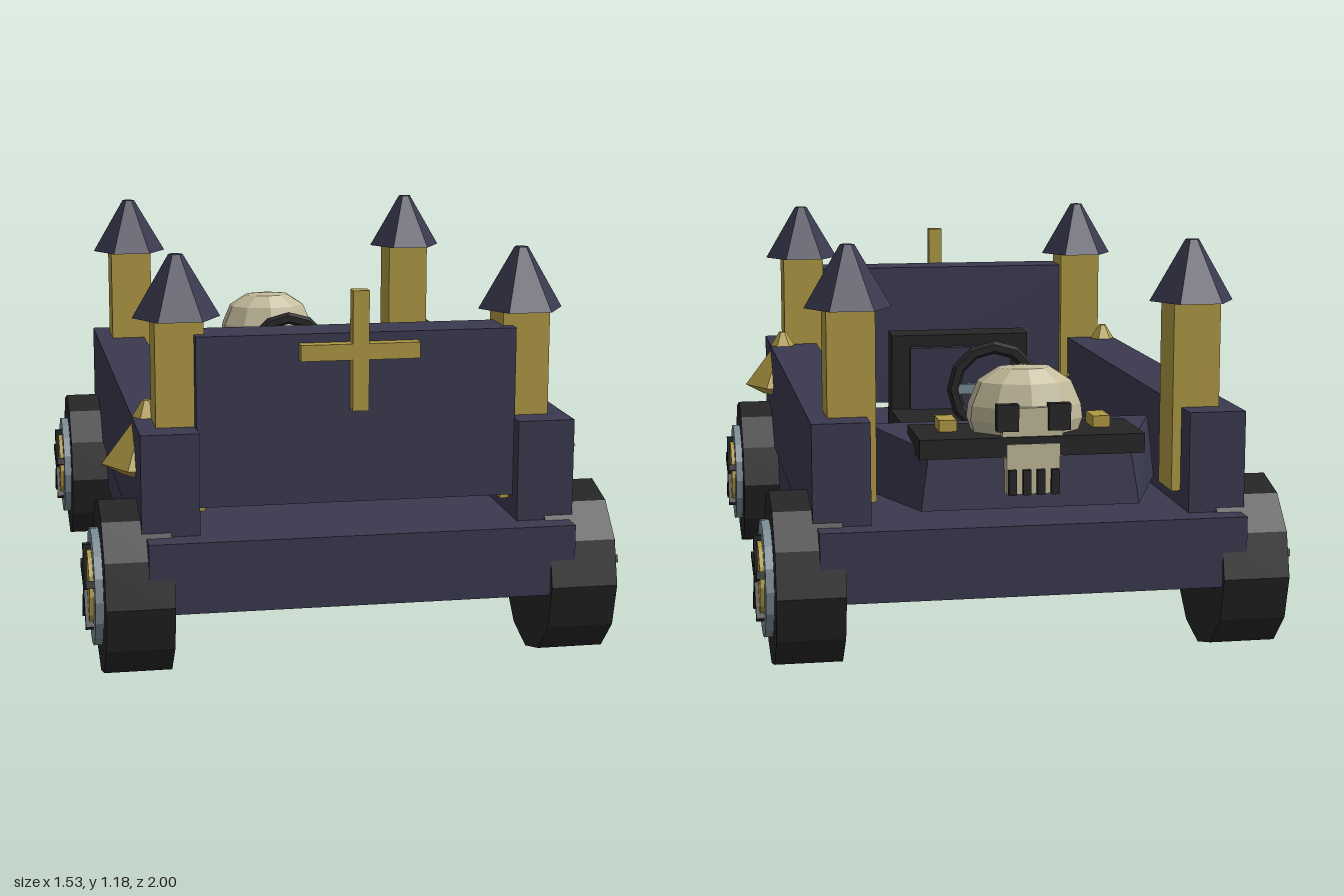
import * as THREE from 'three';

const mat = (name, color) => {
  const m = new THREE.MeshStandardMaterial({ color, flatShading: true });
  m.name = name;
  return m;
};

export function createModel() {
  const root = new THREE.Group();
  root.name = 'castleCart';
  const navy = mat('navy', 0x3a394f);
  const gold = mat('gold', 0xb09a44);
  const dark = mat('black', 0x252525);
  const steel = mat('steel', 0x7a8b93);
  const bone = mat('bone', 0xc4bb9c);

  const add = (name, geo, m, x = 0, y = 0, z = 0, parent = root) => {
    const mesh = new THREE.Mesh(geo, m);
    mesh.name = name;
    mesh.position.set(x, y, z);
    parent.add(mesh);
    return mesh;
  };
  // box given by its limits on each axis
  const box = (name, m, x0, x1, y0, y1, z0, z1, parent = root) =>
    add(name, new THREE.BoxGeometry(x1 - x0, y1 - y0, z1 - z0), m,
      (x0 + x1) / 2, (y0 + y1) / 2, (z0 + z1) / 2, parent);

  // chassis and walls
  box('chassis', navy, -0.6, 0.6, 0.225, 0.425, -0.98, 0.98);
  for (const s of [-1, 1]) {
    const wall = box('sideWall', navy, 0.45, 0.612, 0.375, 0.712, -0.905, 0.905);
    wall.position.x *= s;
  }
  box('endPanel', navy, -0.452, 0.452, 0.49, 0.97, 0.705, 0.855);

  // cross
  box('crossUpright', gold, -0.023, 0.023, 0.757, 1.092, 0.855, 0.896);
  box('crossBar', gold, -0.167, 0.167, 0.9, 0.945, 0.856, 0.895);

  // hood: a box tapering to the back and to the top
  const hoodGeo = new THREE.BoxGeometry(1, 1, 1);
  const p = hoodGeo.attributes.position;
  for (let i = 0; i < p.count; i++) {
    const top = p.getY(i) > 0, front = p.getZ(i) > 0;
    const w = front ? (top ? 0.42 : 0.45) : (top ? 0.285 : 0.31);
    p.setXYZ(i, Math.sign(p.getX(i)) * w, top ? (front ? 0.645 : 0.62) : 0.455,
      front ? (top ? -0.55 : -0.522) : (top ? -0.875 : -0.89));
  }
  hoodGeo.computeVertexNormals();
  add('hood', hoodGeo, navy);
  box('hoodSlab', dark, -0.317, 0.317, 0.605, 0.66, -0.915, -0.67);
  for (const [x, z, w, d] of [[-0.22, -0.755, 0.05, 0.09], [0.22, -0.755, 0.05, 0.09],
    [-0.11, -0.71, 0.055, 0.08], [0.11, -0.71, 0.055, 0.08], [0, -0.69, 0.05, 0.08]]) {
    add('hoodStud', new THREE.BoxGeometry(w, 0.035, d), gold, x, 0.675, z);
  }

  // skull ornament
  const skull = new THREE.Group();
  skull.name = 'skull';
  root.add(skull);
  const cranium = add('cranium', new THREE.LatheGeometry(
    [[0, 0], [0.9, 0], [1, 0.25], [0.97, 0.45], [0.8, 0.78], [0.45, 0.97], [0, 1]]
      .map(([x, y]) => new THREE.Vector2(x, y)), 10), bone, 0, 0.645, -0.785, skull);
  cranium.scale.set(0.168, 0.198, 0.117);
  box('face', bone, -0.085, 0.085, 0.6, 0.74, -0.908, -0.8, skull);
  box('jaw', bone, -0.075, 0.075, 0.5, 0.64, -0.918, -0.86, skull);
  for (const s of [-1, 1]) {
    add('eye', new THREE.BoxGeometry(0.062, 0.075, 0.03), dark, s * 0.073, 0.715, -0.91, skull);
  }
  for (let i = 0; i < 4; i++) {
    add('toothGap', new THREE.BoxGeometry(0.022, 0.07, 0.025), dark,
      (i - 1.5) * 0.04, 0.535, -0.922, skull);
  }

  // corner towers
  const roofGeo = new THREE.CylinderGeometry(0.02, 0.123, 0.175, 6);
  roofGeo.rotateY(Math.PI / 6);
  for (const x of [-0.492, 0.492]) for (const z of [-0.745, 0.745]) {
    add('tower', new THREE.BoxGeometry(0.136, 0.54, 0.14), gold, x, 0.74, z);
    add('towerRoof', roofGeo, navy, x, 1.097, z);
  }

  // side lanterns
  const lanternGeo = new THREE.LatheGeometry(
    [[0, 0.545], [0.068, 0.545], [0.13, 0.578], [0.03, 0.71], [0, 0.71]]
      .map(([x, y]) => new THREE.Vector2(x, y)), 6);
  lanternGeo.rotateY(Math.PI / 6);
  const finialGeo = new THREE.CylinderGeometry(0.012, 0.046, 0.055, 6);
  finialGeo.rotateY(Math.PI / 6);
  for (const s of [-1, 1]) {
    add('lantern', lanternGeo, gold, s * 0.57, 0, 0.65);
    add('lanternCap', finialGeo, gold, s * 0.57, 0.732, 0.65);
  }

  // seat
  box('seatCushion', dark, -0.235, 0.235, 0.45, 0.53, -0.1, 0.4);
  const back = new THREE.Group();
  back.name = 'seatBack';
  back.position.set(0, 0.45, 0.385);
  back.rotation.x = -0.07;
  root.add(back);
  box('backrest', dark, -0.23, 0.23, 0.01, 0.335, -0.045, 0.045, back);
  box('backrestPad', navy, -0.17, 0.17, 0.07, 0.295, -0.065, -0.04, back);

  // steering wheel and column
  const ring = add('steeringWheel', new THREE.TorusGeometry(0.125, 0.02, 6, 12), dark, 0, 0.7, -0.31);
  ring.scale.z = 0.9;
  box('steeringBar', steel, -0.115, 0.115, 0.685, 0.715, -0.322, -0.302);
  const a = new THREE.Vector3(0, 0.71, -0.315), b = new THREE.Vector3(0, 0.42, -0.49);
  const column = add('steeringColumn', new THREE.BoxGeometry(0.036, a.distanceTo(b), 0.03), steel);
  column.position.copy(a).lerp(b, 0.5);
  column.quaternion.setFromUnitVectors(new THREE.Vector3(0, 1, 0), a.clone().sub(b).normalize());

  // wheels, built along +x and turned round for the other side
  const disc = (r, h, n) => new THREE.CylinderGeometry(r, r, h, n).rotateZ(Math.PI / 2);
  for (const s of [-1, 1]) for (const z of [-0.75, 0.75]) {
    const wheel = new THREE.Group();
    wheel.name = 'wheel';
    wheel.position.set(s * 0.625, 0.25, z);
    if (s < 0) wheel.rotation.y = Math.PI;
    root.add(wheel);
    add('tire', disc(0.25, 0.19, 12), dark, 0, 0, 0, wheel);
    add('rim', disc(0.167, 0.03, 16), steel, 0.103, 0, 0, wheel);
    add('hub', disc(0.112, 0.02, 12), gold, 0.12, 0, 0, wheel);
    for (let i = 0; i < 5; i++) {
      const arm = new THREE.BoxGeometry(0.024, 0.125, 0.022);
      arm.translate(0.128, 0.0625, 0).rotateX(i * Math.PI * 2 / 5);
      add('spoke', arm, dark, 0, 0, 0, wheel);
    }
  }
  return root;
}
